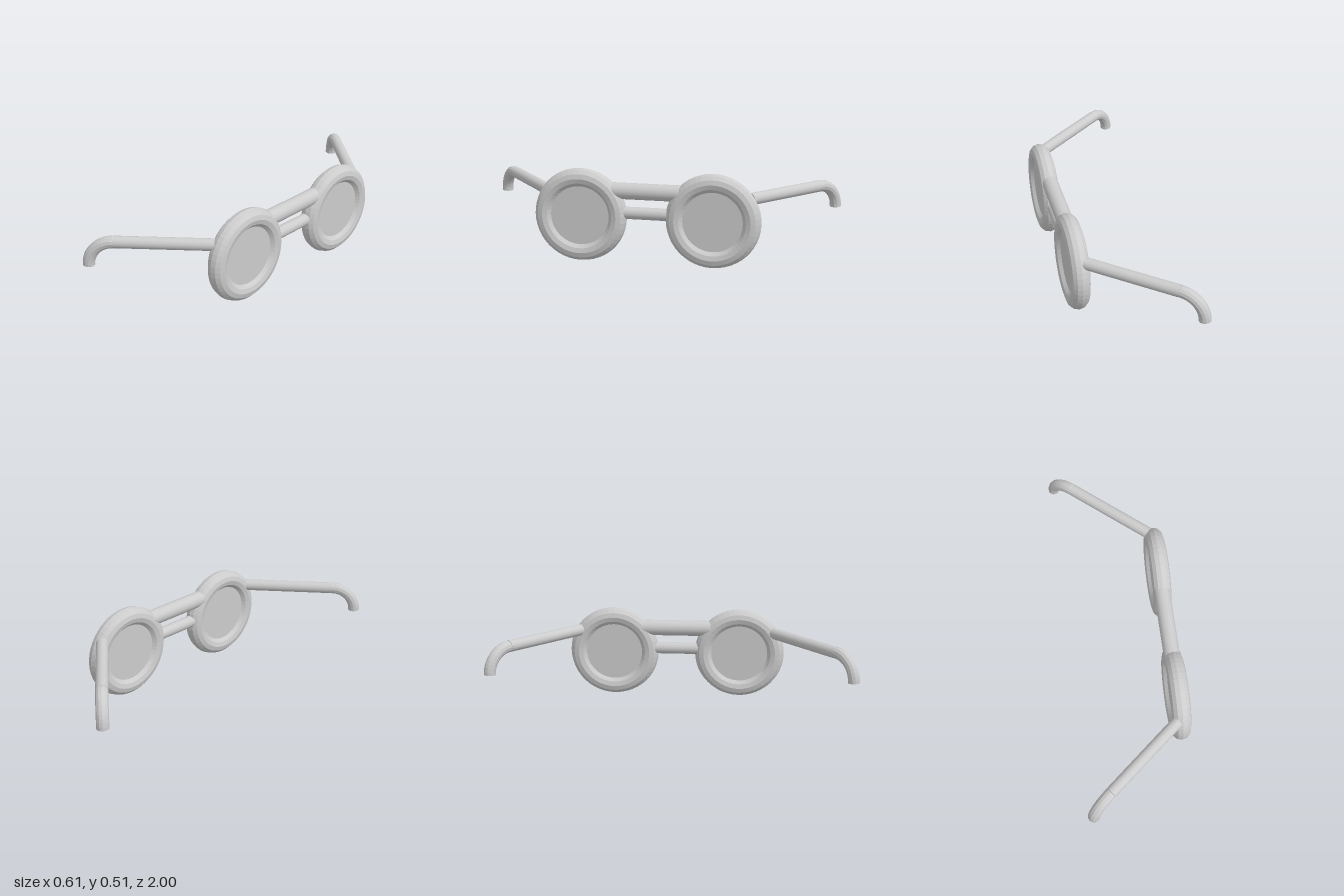
import * as THREE from 'three';

const smooth = new THREE.MeshStandardMaterial({ color: 0xcccccc });
const faceted = new THREE.MeshStandardMaterial({ color: 0xcccccc, flatShading: true });

function add(parent, name, geometry, material = smooth) {
  const mesh = new THREE.Mesh(geometry, material);
  mesh.name = name;
  parent.add(mesh);
  return mesh;
}

// Closed round bar between two points
function addBar(parent, name, from, to, radius) {
  const dir = to.clone().sub(from);
  const bar = add(parent, name, new THREE.CylinderGeometry(radius, radius, dir.length(), 32));
  bar.position.copy(from).add(to).multiplyScalar(0.5);
  bar.quaternion.setFromUnitVectors(new THREE.Vector3(0, 1, 0), dir.normalize());
  return bar;
}

const FRAME_X = 0.252;
const RIM_Y = 0.256;
const RIM_Z = 0.36;
const ARM_R = 0.032;
const ARM_Y = 0.38;
const BEND = 0.133;

export function createModel() {
  const model = new THREE.Group();
  model.name = 'glasses';

  for (const side of [1, -1]) {
    const label = side > 0 ? 'left' : 'right';

    // Round rim with a thick lens, facing +x
    const eye = new THREE.Group();
    eye.name = label + 'Eyepiece';
    eye.position.set(FRAME_X, RIM_Y, side * RIM_Z);
    model.add(eye);
    const rim = add(eye, label + 'Rim', new THREE.TorusGeometry(0.204, 0.051, 12, 48), faceted);
    rim.rotation.y = Math.PI / 2;
    const lens = add(eye, label + 'Lens', new THREE.CylinderGeometry(0.164, 0.164, 0.052, 48));
    lens.rotation.z = Math.PI / 2;

    // Temple arm: straight bar, then a quarter bend down to the ear tip
    const arm = new THREE.Group();
    arm.name = label + 'Arm';
    model.add(arm);
    const hinge = new THREE.Vector3(0.226, ARM_Y, side * 0.553);
    const ear = new THREE.Vector3(-0.272, ARM_Y, side * 0.968);
    const dir = ear.clone().sub(hinge).normalize();
    const bendStart = ear.clone().addScaledVector(dir, -BEND);
    addBar(arm, label + 'Temple', hinge, bendStart, ARM_R);

    const points = [];
    for (let i = 0; i <= 10; i++) {
      const a = (i / 10) * Math.PI / 2;
      const p = bendStart.clone().addScaledVector(dir, BEND * Math.sin(a));
      p.y -= BEND * (1 - Math.cos(a));
      points.push(p);
    }
    const curve = new THREE.CatmullRomCurve3(points);
    add(arm, label + 'EarHook', new THREE.TubeGeometry(curve, 12, ARM_R, 12), faceted);
    const tip = add(arm, label + 'EarTip', new THREE.CircleGeometry(ARM_R, 12));
    tip.rotation.x = Math.PI / 2;
    tip.position.copy(points[10]);
  }

  // Two bars bridging the rims
  const bridge = (name, y, z, r) => addBar(model, name,
    new THREE.Vector3(0.248, y, -z), new THREE.Vector3(0.248, y, z), r);
  bridge('upperBridge', 0.396, 0.2, 0.044);
  bridge('lowerBridge', 0.277, 0.14, 0.033);

  return model;
}
